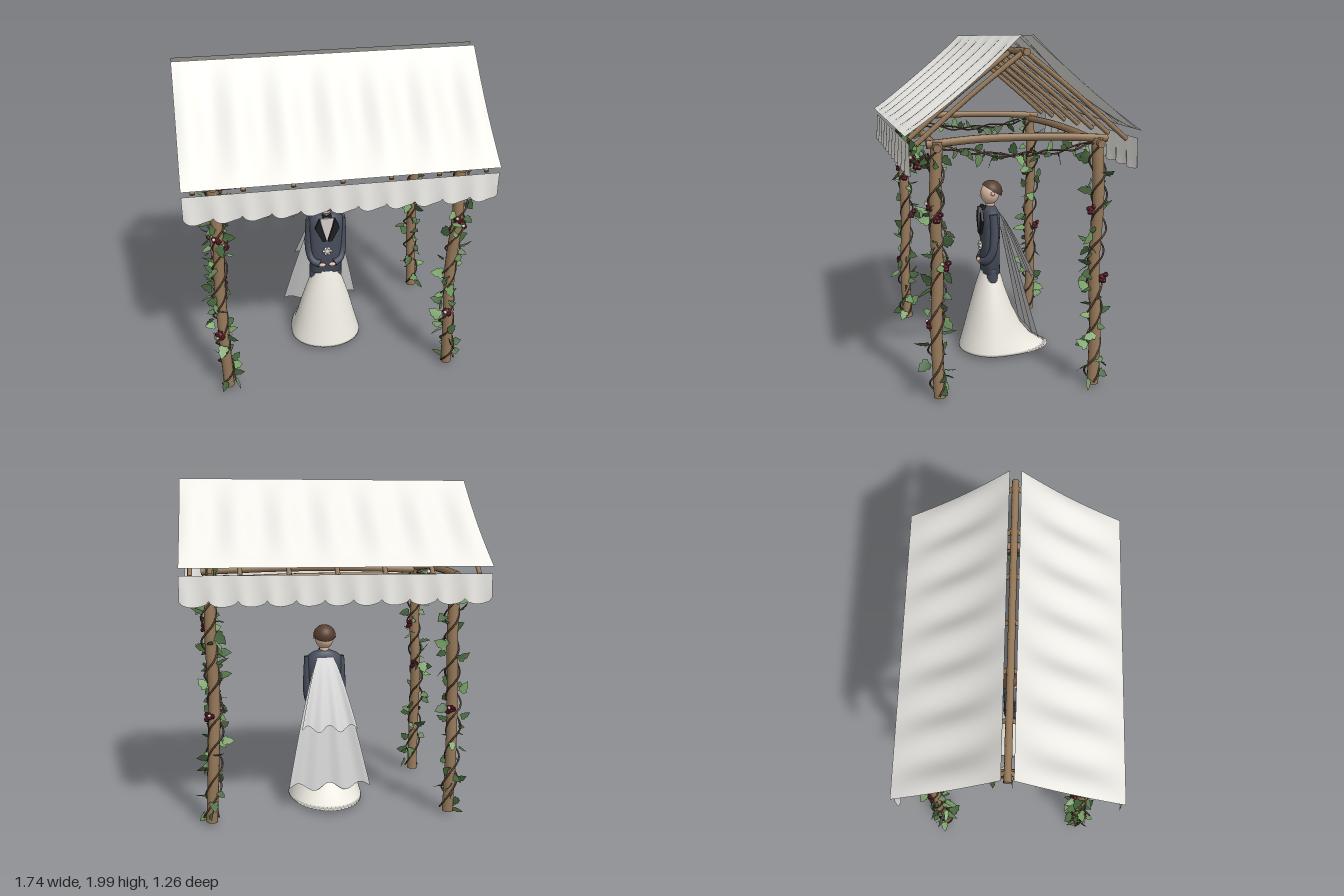
import * as THREE from 'three';
import { mergeGeometries } from 'three/addons/utils/BufferGeometryUtils.js';

const V = (x, y, z) => new THREE.Vector3(x, y, z);
const mat = (color, flatShading = false) =>
  new THREE.MeshStandardMaterial({ color, flatShading, side: THREE.DoubleSide });
const M = {
  wood: mat(0x96795a), vine: mat(0x5c4636), leaf: mat(0x79a268), darkLeaf: mat(0x48683f),
  rose: mat(0x6a202c, true), pale: mat(0xd8cfc8), cloth: mat(0xeeede8), dress: mat(0xebe8df),
  veil: mat(0xc9c9c9), jacket: mat(0x474d5c), black: mat(0x1d1e22), skin: mat(0xd9b8a3), hair: mat(0x563d2e),
};

let seed = 7;
const rnd = () => (seed = (seed * 16807) % 2147483647) / 2147483647;
const rs = () => rnd() * 2 - 1;

function add(parent, name, geometry, material, x = 0, y = 0, z = 0) {
  const m = new THREE.Mesh(geometry, material);
  m.name = name;
  m.position.set(x, y, z);
  parent.add(m);
  return m;
}

// Round bar through a few points, with flat end caps
function bar(pts, r, sides = 10, steps = 16) {
  const curve = new THREE.CatmullRomCurve3(pts);
  const caps = [0, 1].map(t => {
    const c = new THREE.CircleGeometry(r, sides);
    c.lookAt(curve.getTangentAt(t).multiplyScalar(t ? 1 : -1));
    const p = curve.getPointAt(t);
    return c.translate(p.x, p.y, p.z);
  });
  return mergeGeometries([new THREE.TubeGeometry(curve, steps, r, sides), ...caps]);
}

// Skin over sections [y, half width, front depth, back depth, squareness]
function loft(sections, n = 40) {
  const pos = [], idx = [];
  for (const [y, w, f, b, e = 1] of sections)
    for (let i = 0; i < n; i++) {
      const a = (i / n) * Math.PI * 2, c = Math.cos(a), s = Math.sin(a);
      pos.push(Math.sign(s) * Math.abs(s) ** e * w, y, Math.sign(c) * Math.abs(c) ** e * (c > 0 ? f : b));
    }
  for (let j = 0; j < sections.length - 1; j++)
    for (let i = 0; i < n; i++) {
      const a = j * n + i, b = j * n + (i + 1) % n;
      idx.push(a, b, b + n, a, b + n, a + n);
    }
  const g = new THREE.BufferGeometry();
  g.setAttribute('position', new THREE.Float32BufferAttribute(pos, 3));
  g.setIndex(idx);
  g.computeVertexNormals();
  return g;
}

// Sheet bent by a rule (u, v) -> point
function sheet(nu, nv, rule) {
  const g = new THREE.PlaneGeometry(1, 1, nu, nv), p = g.attributes.position;
  for (let i = 0; i < p.count; i++) {
    const q = rule(p.getX(i) + 0.5, 0.5 - p.getY(i));
    p.setXYZ(i, q.x, q.y, q.z);
  }
  g.computeVertexNormals();
  return g;
}

// Pointed ivy leaf, folded along its middle
function leafGeometry() {
  const half = [[0, 0], [0.3, -0.08], [0.5, 0.25], [0.33, 0.42], [0.38, 0.62], [0, 1.15]];
  const outline = [...half, ...half.slice(1, -1).reverse().map(([x, y]) => [-x, y])];
  const g = new THREE.ShapeGeometry(new THREE.Shape(outline.map(([x, y]) => new THREE.Vector2(x, y))));
  const p = g.attributes.position;
  for (let i = 0; i < p.count; i++) p.setZ(i, Math.abs(p.getX(i)) * 0.3);
  g.computeVertexNormals();
  return g;
}
const LEAF = leafGeometry();

function placedLeaf(at, dir, size) {
  const y = dir.clone().normalize();
  const x = V(rs(), rs(), rs()).cross(y).normalize();
  const basis = new THREE.Matrix4().makeBasis(x, y, x.clone().cross(y));
  return LEAF.clone().applyMatrix4(basis.scale(V(size, size, size)).setPosition(at));
}

function rose(parent, at, r = 0.026) {
  const petals = [new THREE.IcosahedronGeometry(r * 0.75, 1)];
  for (let i = 0; i < 6; i++) {
    const a = i * 2.4, h = (i % 3 - 1) * 0.6;
    petals.push(new THREE.IcosahedronGeometry(r * 0.6, 0)
      .translate(Math.cos(a) * r * 0.65, h * r, Math.sin(a) * r * 0.65));
  }
  add(parent, 'rose', mergeGeometries(petals), M.rose, at.x, at.y, at.z);
  const bud = V(rs(), rs(), Math.sign(at.z)).normalize().multiplyScalar(r).add(at);
  add(parent, 'roseBud', new THREE.IcosahedronGeometry(r * 0.38, 1), M.pale, bud.x, bud.y, bud.z);
}

// Stems wound about a path, with leaves pointing outwards
function ivy(parent, name, path, radius, turns, count, size) {
  const group = new THREE.Group();
  group.name = name;
  parent.add(group);
  const wind = (t, phase) => {
    const p = path.getPointAt(t), d = path.getTangentAt(t);
    const a = V(0.3, 0.2, 1).cross(d).normalize(), b = d.clone().cross(a);
    const ang = t * turns * 2 * Math.PI + phase;
    const out = a.multiplyScalar(Math.cos(ang)).addScaledVector(b, Math.sin(ang));
    return { p: p.addScaledVector(out, radius * (1 + 0.25 * Math.sin(t * 31 + phase))), out };
  };
  for (const phase of [0, 2.6]) {
    const pts = Array.from({ length: 36 }, (_, i) => wind(i / 35, phase).p);
    add(group, 'stem', new THREE.TubeGeometry(new THREE.CatmullRomCurve3(pts), 90, 0.0055, 5), M.vine);
  }
  const sets = [[], []];
  for (let i = 0; i < count; i++) {
    const { p, out } = wind((i + rnd()) / count, rnd() * 6.28);
    const dir = out.multiplyScalar(0.9).add(V(rs() * 0.6, rs() * 0.8 - 0.15, rs() * 0.6));
    sets[i % 2].push(placedLeaf(p, dir, size * (0.7 + rnd() * 0.6)));
  }
  add(group, 'leaves', mergeGeometries(sets[0]), M.leaf);
  add(group, 'darkLeaves', mergeGeometries(sets[1]), M.darkLeaf);
}

function buildPavilion(g) {
  // Crooked posts with ivy and roses
  for (const sx of [-1, 1]) for (const sz of [-1, 1]) {
    const b = sx > 0 ? [0.715, 0.7, 0.69, 0.705, 0.7] : [-0.685, -0.695, -0.7, -0.69, -0.705];
    const pts = b.map((x, i) => V(x, 0.03 + i * 0.355, sz * (0.445 + (i % 2) * 0.012)));
    add(g, 'post', bar(pts, 0.033, 12, 24), M.wood);
    ivy(g, 'postIvy', new THREE.CatmullRomCurve3(pts.map(p => V(p.x, 0.05 + (p.y - 0.03) * 0.95, p.z))),
      0.042, 4, 42, 0.058);
    const spots = sz > 0 ? [[1.11, 0, 0.03], [1.05, 0.04, 0], [0.78, 0.02, -0.045], [0.45, -0.02, 0.035]]
      : [[1.05, 0, 0.03], [0.66, 0.02, -0.04]];
    for (const [y, dx, dz] of spots) rose(g, V(sx * 0.7 + dx, y, sz * 0.45 + dz));
  }
  // Tie beams and their garlands
  for (const s of [-1, 1]) {
    add(g, 'sideBeam', bar([V(s * 0.7, 1.435, 0.5), V(s * 0.7, 1.46, 0.2), V(s * 0.7, 1.46, -0.2), V(s * 0.7, 1.445, -0.5)], 0.022), M.wood);
    add(g, 'longBeam', bar([V(-0.76, 1.42, s * 0.45), V(-0.25, 1.438, s * 0.45), V(0.25, 1.438, s * 0.45), V(0.76, 1.42, s * 0.45)], 0.022), M.wood);
    ivy(g, 'sideGarland', new THREE.CatmullRomCurve3([V(s * 0.7, 1.42, 0.42), V(s * 0.7, 1.38, 0.2), V(s * 0.7, 1.365, 0), V(s * 0.7, 1.38, -0.2), V(s * 0.7, 1.42, -0.42)]),
      0.012, 3, 26, 0.052);
  }
  ivy(g, 'frontGarland', new THREE.CatmullRomCurve3([V(-0.68, 1.37, 0.49), V(-0.4, 1.3, 0.5), V(0, 1.33, 0.5), V(0.4, 1.3, 0.5), V(0.68, 1.37, 0.49)]),
    0.016, 7, 56, 0.05);
  for (const [x, y] of [[-0.45, 1.3], [-0.29, 1.29], [-0.08, 1.32], [0, 1.34], [0.29, 1.29], [0.46, 1.3]])
    rose(g, V(x, y, 0.51), 0.03);

  // Ridge and rafters
  add(g, 'ridge', bar([V(-0.86, 1.915, 0), V(0, 1.92, 0), V(0.86, 1.915, 0)], 0.02), M.wood);
  for (let i = -3; i <= 3; i++) for (const s of [-1, 1])
    add(g, 'rafter', bar([V(i * 0.27, 1.92, 0), V(i * 0.27, 1.695, s * 0.285), V(i * 0.27, 1.45, s * 0.57)], 0.014, 8, 6), M.wood);

  // Sagging cloth roof and scalloped valances
  for (const s of [-1, 1]) {
    add(g, 'roofCloth', sheet(84, 14, (u, v) => {
      const x = (u - 0.5) * 1.74 * s;
      const sag = Math.sin(Math.PI * v) * (0.006 + 0.017 * (1 - Math.cos(x / 0.27 * 2 * Math.PI)));
      return V(x, 2 - v * 0.5 - sag * 0.77, s * (0.032 + v * 0.6 - sag * 0.64));
    }), M.cloth);
    add(g, 'valance', sheet(132, 6, (u, v) => {
      const x = (u - 0.5) * 1.74 * s, k = Math.abs(Math.sin(u * 11 * Math.PI));
      return V(x, 1.46 - v * (0.14 + 0.032 * Math.sqrt(k)), s * (0.612 + 0.012 * v * Math.sin(u * 22 * Math.PI)));
    }), M.cloth);
  }
}

function buildFigure(g) {
  // Gown with a train
  add(g, 'skirt', loft([[0.04, 0, 0, 0], [0.035, 0.23, 0.2, 0.38], [0.05, 0.228, 0.198, 0.34], [0.1, 0.213, 0.183, 0.265], [0.18, 0.191, 0.162, 0.2],
    [0.3, 0.16, 0.13, 0.14], [0.42, 0.122, 0.098, 0.095], [0.54, 0.08, 0.06, 0.06]], 56), M.dress);
  for (const s of [-1, 1]) {
    add(g, 'shoe', new THREE.BoxGeometry(0.05, 0.02, 0.13), M.black, s * 0.045, 0.037, 0.04);
    add(g, 'hip', new THREE.CapsuleGeometry(0.036, 0.06, 6, 14), M.jacket, s * 0.07, 0.52, 0);
  }
  // Jacket with bent sleeves
  add(g, 'jacket', loft([[0.53, 0, 0, 0], [0.53, 0.104, 0.056, 0.056, 0.7], [0.68, 0.098, 0.056, 0.054, 0.7], [0.84, 0.108, 0.058, 0.056, 0.7],
    [0.915, 0.108, 0.052, 0.052, 0.7], [0.94, 0.075, 0.04, 0.04], [0.955, 0.03, 0.03, 0.03], [0.955, 0, 0, 0]]), M.jacket);
  const flat = (pts, depth) => new THREE.ExtrudeGeometry(
    new THREE.Shape(pts.map(([x, y]) => new THREE.Vector2(x, y))), { depth, bevelEnabled: false });
  add(g, 'shirt', flat([[-0.045, 0.935], [0, 0.77], [0.045, 0.935]], 0.01), M.pale, 0, 0, 0.05);
  for (const s of [-1, 1]) {
    add(g, 'sleeve', bar([V(s * 0.1, 0.915, 0), V(s * 0.107, 0.8, -0.005), V(s * 0.106, 0.68, 0.005), V(s * 0.085, 0.62, 0.035), V(s * 0.045, 0.605, 0.055)], 0.026, 12, 24), M.jacket);
    add(g, 'hand', new THREE.SphereGeometry(0.018, 12, 8), M.skin, s * 0.032, 0.6, 0.068).scale.set(1.3, 0.8, 0.7);
    add(g, 'lapel', flat([[s * 0.05, 0.94], [s * 0.078, 0.87], [s * 0.03, 0.775], [s * 0.004, 0.775], [s * 0.035, 0.88]], 0.016), M.black, 0, 0, 0.055);
    add(g, 'bowTie', new THREE.ConeGeometry(0.016, 0.03, 8), M.black, s * 0.012, 0.945, 0.045).rotation.z = s * Math.PI / 2;
    add(g, 'ear', new THREE.SphereGeometry(0.013, 10, 8), M.skin, s * 0.06, 1.035, -0.005);
  }
  // Posy and buttons
  add(g, 'posy', new THREE.SphereGeometry(0.024, 14, 10), M.pale, 0, 0.7, 0.06).scale.z = 0.6;
  for (let i = 0; i < 6; i++)
    add(g, 'posyPetal', new THREE.SphereGeometry(0.009, 8, 6), M.dress, Math.cos(i * 1.047) * 0.022, 0.7 + Math.sin(i * 1.047) * 0.022, 0.066);
  // Head and hair
  add(g, 'neck', new THREE.CylinderGeometry(0.028, 0.032, 0.06, 14), M.skin, 0, 0.965, -0.003);
  add(g, 'head', new THREE.SphereGeometry(0.062, 24, 18), M.skin, 0, 1.03, 0).scale.set(0.95, 1.13, 0.95);
  add(g, 'nose', new THREE.ConeGeometry(0.008, 0.022, 8), M.skin, 0, 1.025, 0.059);
  const hair = add(g, 'hair', new THREE.SphereGeometry(0.07, 24, 14, 0, Math.PI * 2, 0, 1.5), M.hair, 0, 1.045, -0.009);
  hair.scale.set(1, 0.97, 1);
  hair.rotation.x = -0.55;

  // Two-layer veil hanging from the shoulders
  const veil = (y1, z1, w1, bow) => sheet(36, 18, (u, v) => {
    const a = u * 2 - 1;
    return V(a * (0.05 + (w1 - 0.05) * v ** 0.8),
      0.91 + (y1 - 0.91) * v + v * (0.02 * Math.cos(a * 8) - 0.015),
      -0.055 + (z1 + 0.055) * v ** bow + 0.012 * v * Math.cos(a * 9));
  });
  add(g, 'longVeil', veil(0.16, -0.245, 0.25, 0.95), M.veil);
  add(g, 'shortVeil', veil(0.52, -0.25, 0.17, 0.85), M.veil);
}

export function createModel() {
  const model = new THREE.Group();
  model.name = 'weddingPavilion';
  for (const [name, build] of [['pavilion', buildPavilion], ['figure', buildFigure]]) {
    const part = new THREE.Group();
    part.name = name;
    build(part);
    model.add(part);
  }
  return model;
}
